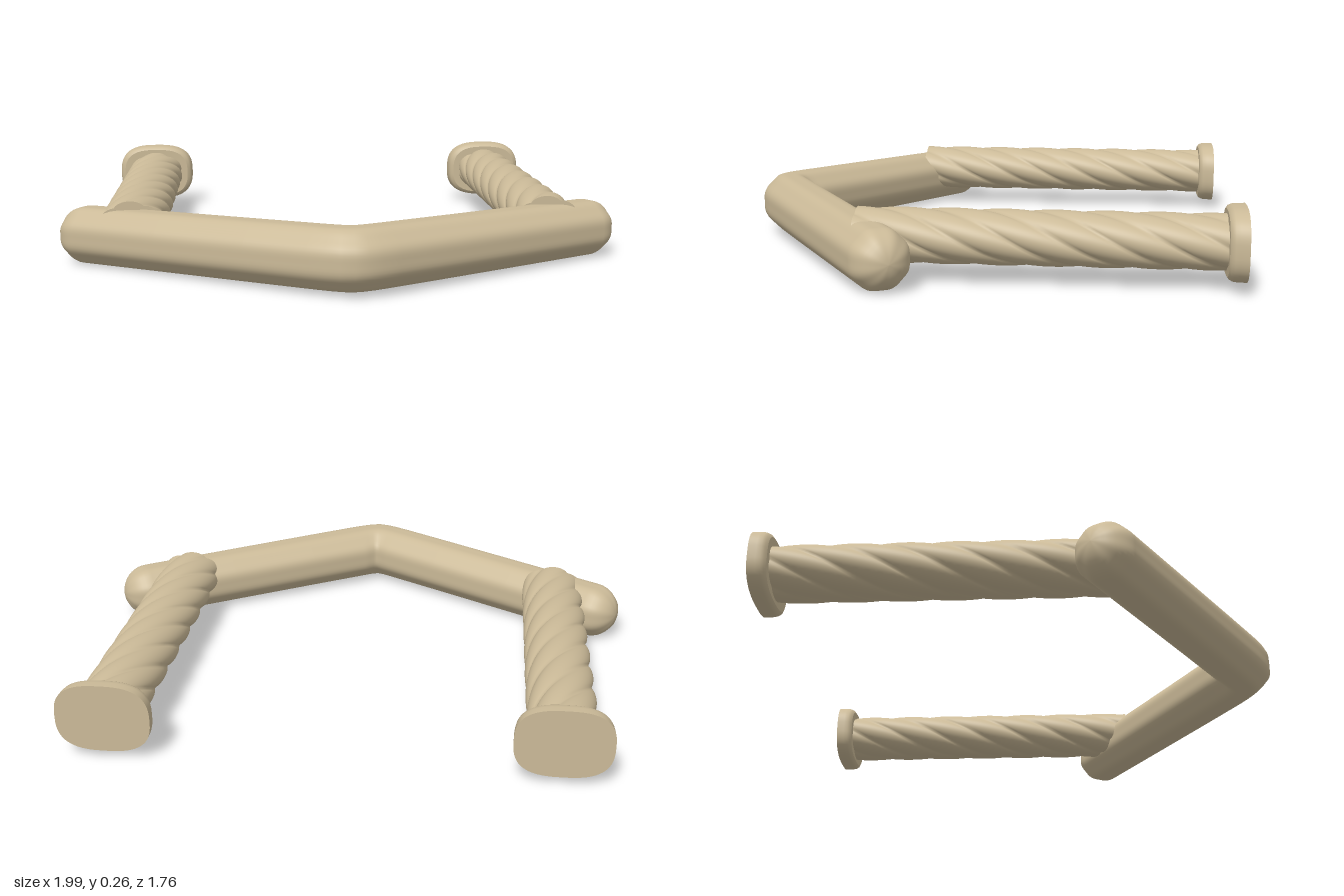
import * as THREE from 'three';

// Skin a row of closed loops (arrays of Vector3) with smooth normals; optional flat ends.
function loft(loops, capStart = true, capEnd = true) {
  const n = loops[0].length;
  const pos = [], idx = [];
  const add = (p) => pos.push(p.x, p.y, p.z) / 3 - 1;
  loops.forEach((loop) => loop.forEach(add));
  for (let i = 0; i < loops.length - 1; i++) {
    for (let j = 0; j < n; j++) {
      const k = (j + 1) % n;
      const a = i * n + j, b = i * n + k, c = (i + 1) * n + k, d = (i + 1) * n + j;
      idx.push(a, b, c, a, c, d);
    }
  }
  // Caps get their own vertices so the rim stays sharp
  const cap = (loop, flip) => {
    const centre = new THREE.Vector3();
    loop.forEach((p) => centre.addScaledVector(p, 1 / n));
    const c = add(centre);
    const rim = loop.map(add);
    for (let j = 0; j < n; j++) {
      const a = rim[j], b = rim[(j + 1) % n];
      if (flip) idx.push(c, b, a); else idx.push(c, a, b);
    }
  };
  if (capStart) cap(loops[0], true);
  if (capEnd) cap(loops[loops.length - 1], false);
  const g = new THREE.BufferGeometry();
  g.setAttribute('position', new THREE.Float32BufferAttribute(pos, 3));
  g.setIndex(idx);
  g.computeVertexNormals();
  return g;
}

const ring = (n, fn) => Array.from({ length: n }, (_, j) => fn((j / n) * Math.PI * 2));

// V-shaped bar with a softly octagonal section and domed ends
function barGeometry() {
  const section = (x, dome = 0) => {
    const ax = Math.abs(x), side = Math.sign(x);
    const tilt = side * 0.54 * Math.min(1, ax / 0.1);
    const radius = 0.106 - 0.005 * ax;
    const dir = new THREE.Vector3(Math.cos(tilt), 0, -Math.sin(tilt));
    const out = new THREE.Vector3(Math.sin(tilt), 0, Math.cos(tilt));
    const centre = new THREE.Vector3(x, 0.12 - 0.019 * ax, 0.79 - 0.6 * Math.hypot(x, 0.03));
    centre.addScaledVector(dir, side * radius * Math.sin(dome));
    return ring(64, (t) => {
      const r = radius * Math.cos(dome) * (1 - 0.02 * Math.cos(8 * t));
      return centre.clone().addScaledVector(out, r * Math.sin(t))
        .add(new THREE.Vector3(0, r * Math.cos(t), 0));
    });
  };
  const end = 0.895, loops = [];
  for (let i = 10; i > 0; i--) loops.push(section(-end, (i / 10) * 1.55));
  for (const x of [-end, -0.6, -0.3, -0.1, -0.06, -0.03, 0, 0.03, 0.06, 0.1, 0.3, 0.6, end]) {
    loops.push(section(x));
  }
  for (let i = 1; i <= 10; i++) loops.push(section(end, (i / 10) * 1.55));
  return loft(loops);
}

// Flattened rope-like rod, six strands twisting along z
function rodGeometry() {
  const z0 = -0.84, z1 = 0.35, steps = 90, loops = [];
  for (let i = 0; i <= steps; i++) {
    const z = z0 + ((z1 - z0) * i) / steps;
    loops.push(ring(72, (t) => {
      const strand = Math.abs(Math.sin(3 * (t - z * Math.PI * 2)));
      const r = 0.87 + 0.13 * Math.sqrt(strand);
      return new THREE.Vector3(0.116 * r * Math.cos(t), 0.09 * r * Math.sin(t), z);
    }));
  }
  return loft(loops);
}

// Rounded foot plate, flat at the back with a softened front edge
function plateGeometry() {
  const soft = (v) => Math.sign(v) * Math.pow(Math.abs(v), 0.72);
  const profile = [[-0.888, 1], [-0.86, 0.995], [-0.845, 0.98], [-0.835, 0.94], [-0.829, 0.87]];
  return loft(profile.map(([z, s]) => ring(64, (t) =>
    new THREE.Vector3(0.157 * s * soft(Math.cos(t)), 0.118 * s * soft(Math.sin(t)), z))));
}

export function createModel() {
  const model = new THREE.Group();
  model.name = 'handleFrame';
  const tan = new THREE.MeshStandardMaterial({ color: 0xcbba98 });
  tan.name = 'tan';

  const part = (name, geometry, parent) => {
    const mesh = new THREE.Mesh(geometry, tan);
    mesh.name = name;
    parent.add(mesh);
  };

  part('bentBar', barGeometry(), model);

  // Both posts twist the same way
  const rod = rodGeometry(), plate = plateGeometry();
  for (const [name, x] of [['leftPost', 0.735], ['rightPost', -0.735]]) {
    const post = new THREE.Group();
    post.name = name;
    post.position.set(x, 0.147, 0);
    part('twistedRod', rod, post);
    part('endPlate', plate, post);
    model.add(post);
  }
  return model;
}
